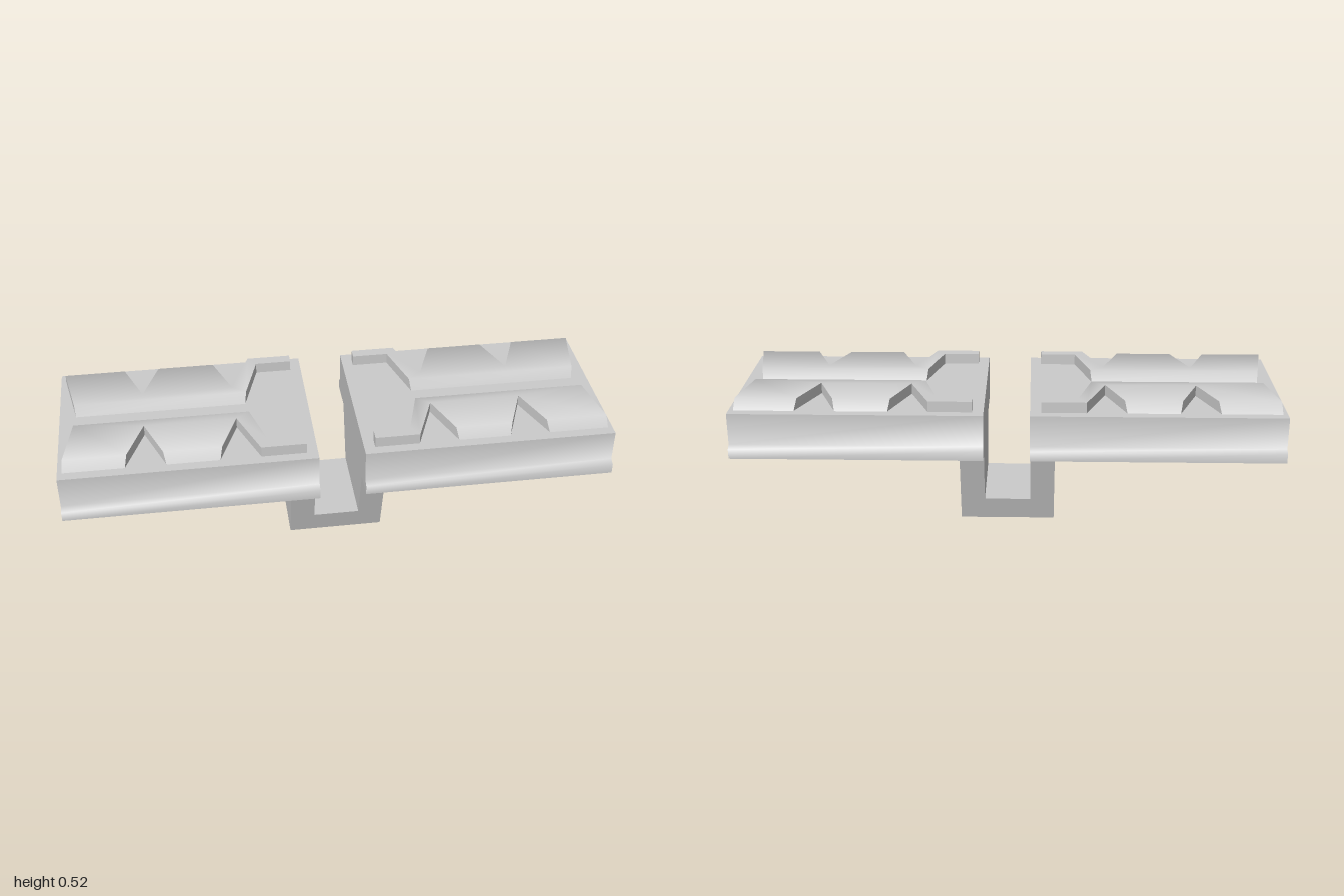
import * as THREE from 'three';
import { toCreasedNormals } from 'three/addons/utils/BufferGeometryUtils.js';

const material = new THREE.MeshStandardMaterial({ color: 0xcccccc });
const CREASE = THREE.MathUtils.degToRad(65);
const PAD_BOTTOM = 0.32, PAD_TOP = 0.485, TREAD_TOP = 0.525;
const Z_SHIFT = -0.0025;

function addMesh(group, name, geometry) {
  const mesh = new THREE.Mesh(geometry, material);
  mesh.name = name;
  group.add(mesh);
  return mesh;
}

const shapeFrom = (points) => new THREE.Shape(points.map(([x, y]) => new THREE.Vector2(x, y)));

// Pad: side profile with a small lip along the lower edges, run along x
function padGeometry() {
  const profile = [
    [-0.343, PAD_BOTTOM], [0.343, PAD_BOTTOM], [0.343, 0.356], [0.324, 0.368],
    [0.324, PAD_TOP], [-0.32, PAD_TOP], [-0.32, 0.368], [-0.343, 0.356],
  ];
  const g = new THREE.ExtrudeGeometry(shapeFrom(profile), { depth: 0.917, bevelEnabled: false });
  g.rotateY(Math.PI / 2);
  return toCreasedNormals(g, CREASE);
}

// Tread outline: [base x, base z, top x, top z]; the long edges lean inward
const TREAD = [
  [0.123, 0.2855, 0.123, 0.2855], [0.285, 0.2855, 0.285, 0.2855], // arm
  [0.358, 0.1, 0.358, 0.1], [0.43, 0.2855, 0.421, 0.262],         // first notch
  [0.62, 0.2855, 0.628, 0.262], [0.692, 0.1, 0.692, 0.1],         // second notch
  [0.765, 0.2855, 0.756, 0.262], [0.983, 0.2855, 0.979, 0.262],   // outer end
  [0.94, 0.0425, 0.944, 0.0635], [0.315, 0.0425, 0.309, 0.0635],  // inner edge
  [0.255, 0.245, 0.255, 0.245], [0.123, 0.245, 0.123, 0.245],
];

function treadGeometry(sx, sz) {
  // Plan is drawn as (x, -z), so a counter-clockwise outline faces up
  let outline = TREAD.map(([bx, bz, tx, tz]) => ({
    base: new THREE.Vector2(sx * bx, -sz * bz),
    top: new THREE.Vector2(sx * tx, -sz * tz),
  }));
  if (THREE.ShapeUtils.isClockWise(outline.map((p) => p.base))) outline.reverse();

  const n = outline.length;
  const positions = [];
  outline.forEach((p) => positions.push(p.base.x, PAD_TOP, -p.base.y));
  outline.forEach((p) => positions.push(p.top.x, TREAD_TOP, -p.top.y));

  const index = [];
  for (let i = 0; i < n; i++) {
    const j = (i + 1) % n;
    index.push(i, j, n + j, i, n + j, n + i);
  }
  for (const [a, b, c] of THREE.ShapeUtils.triangulateShape(outline.map((p) => p.top), [])) {
    index.push(n + a, n + b, n + c);
  }
  const g = new THREE.BufferGeometry();
  g.setAttribute('position', new THREE.Float32BufferAttribute(positions, 3));
  g.setIndex(index);
  return toCreasedNormals(g, CREASE);
}

// Guide: U-shaped bracket that narrows in depth toward the bottom
function guideGeometry() {
  const outline = [
    [-0.175, 0], [0.175, 0], [0.175, PAD_BOTTOM], [0.085, PAD_BOTTOM],
    [0.085, 0.09], [-0.085, 0.09], [-0.085, PAD_BOTTOM], [-0.175, PAD_BOTTOM],
  ];
  const g = new THREE.ExtrudeGeometry(shapeFrom(outline), { depth: 2, bevelEnabled: false });
  g.translate(0, 0, -1);
  const p = g.attributes.position;
  for (let i = 0; i < p.count; i++) {
    p.setZ(i, p.getZ(i) * THREE.MathUtils.mapLinear(p.getY(i), 0, PAD_BOTTOM, 0.14, 0.236));
  }
  g.computeVertexNormals();
  return g;
}

export function createModel() {
  const model = new THREE.Group();
  model.name = 'trackLink';

  addMesh(model, 'guideBracket', guideGeometry()).position.z = Z_SHIFT;

  for (const sx of [1, -1]) {
    const side = sx > 0 ? 'left' : 'right';
    addMesh(model, `${side}Pad`, padGeometry()).position.x = sx > 0 ? 0.083 : -1;
    for (const sz of [1, -1]) {
      const name = `${side}${sz > 0 ? 'Front' : 'Back'}Tread`;
      addMesh(model, name, treadGeometry(sx, sz)).position.z = Z_SHIFT;
    }
  }
  return model;
}
